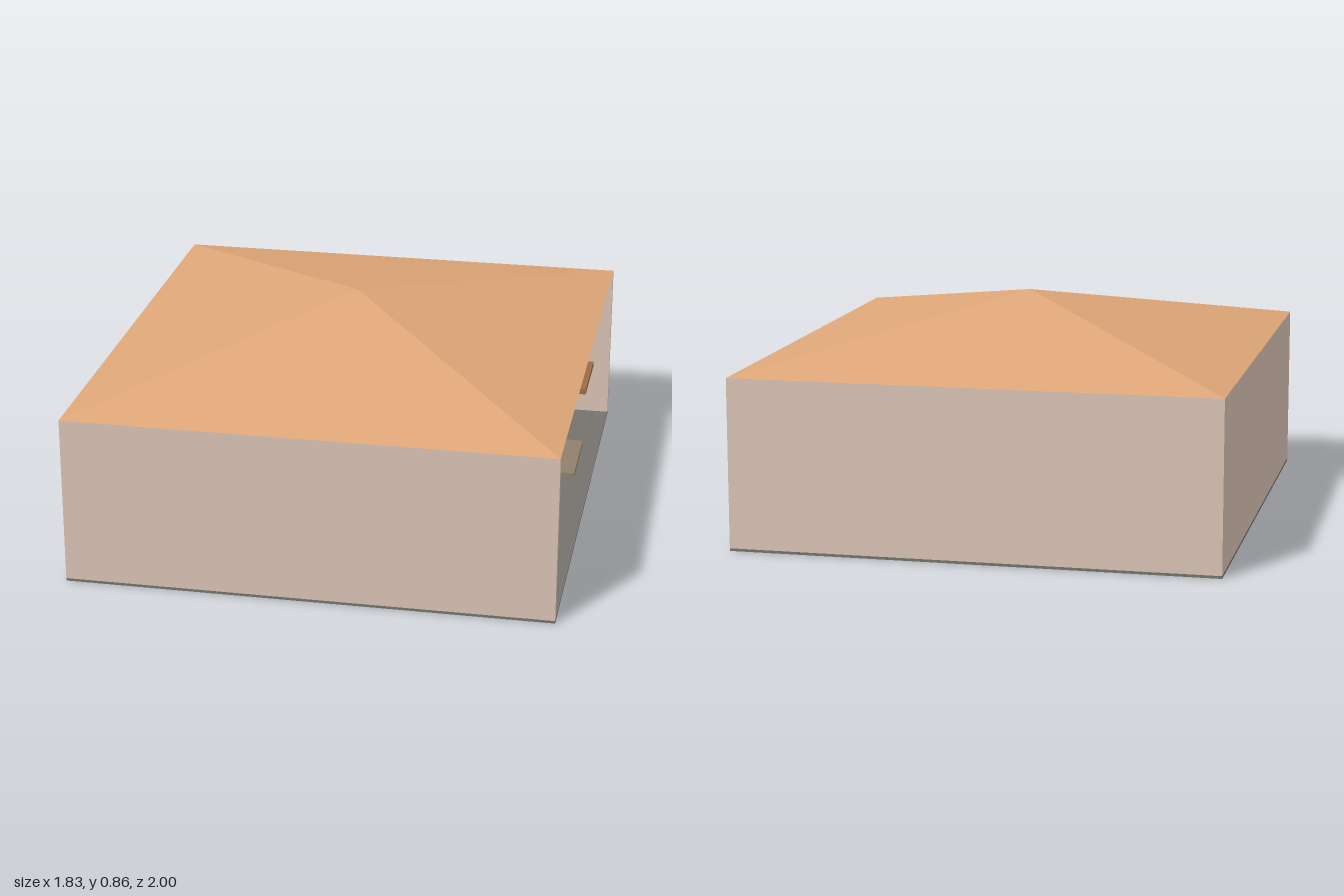
import * as THREE from 'three';

const HALF_X = 0.917, HALF_Z = 1, WALL = 0.025, FLOOR = 0.01, EAVES = 0.65, PEAK = 0.863;

const paint = (color, side = THREE.FrontSide) =>
  new THREE.MeshStandardMaterial({ color, side, flatShading: true });

// Box given by its low and high bounds on each axis
function block(name, [x0, x1], [y0, y1], [z0, z1], material) {
  const mesh = new THREE.Mesh(new THREE.BoxGeometry(x1 - x0, y1 - y0, z1 - z0), material);
  mesh.position.set((x0 + x1) / 2, (y0 + y1) / 2, (z0 + z1) / 2);
  mesh.name = name;
  return mesh;
}

// Long bench with four square legs, running along x
function makeBench(name, z, wood) {
  const bench = new THREE.Group();
  bench.name = name;
  bench.add(block('benchTop', [-0.85, 0.85], [0.22, 0.243], [-0.16, 0.16], wood));
  for (const x of [-0.735, 0.735]) {
    for (const dz of [-0.126, 0.126]) {
      bench.add(block('benchLeg', [x - 0.021, x + 0.021], [FLOOR, 0.22], [dz - 0.021, dz + 0.021], wood));
    }
  }
  bench.position.z = z;
  return bench;
}

// Table on two block pedestals
function makeTable(stone) {
  const table = new THREE.Group();
  table.name = 'table';
  table.add(block('tableTop', [-0.85, 0.89], [0.21, 0.228], [-0.162, 0.162], stone));
  for (const x of [-0.576, 0.616]) {
    table.add(block('tablePedestal', [x - 0.057, x + 0.057], [FLOOR + 0.005, 0.21], [-0.08, 0.08], stone));
  }
  table.position.z = 0.018;
  return table;
}

export function createModel() {
  const model = new THREE.Group();
  model.name = 'openShelter';
  const plaster = paint(0xd8c2b4), wood = paint(0x9c6b45);

  // Floor slab
  model.add(block('floor', [-HALF_X, HALF_X], [0, FLOOR], [-HALF_Z, HALF_Z], paint(0x75726d)));

  // Three walls, open on the +x side
  model.add(block('frontWall', [-HALF_X, HALF_X], [FLOOR, EAVES], [HALF_Z - WALL, HALF_Z], plaster));
  model.add(block('backWall', [-HALF_X, HALF_X], [FLOOR, EAVES], [-HALF_Z, WALL - HALF_Z], plaster));
  model.add(block('rightWall', [-HALF_X, WALL - HALF_X], [FLOOR, EAVES], [WALL - HALF_Z, HALF_Z - WALL], plaster));

  // Hollow four-sided roof
  const roofShape = new THREE.ConeGeometry(Math.SQRT2, PEAK - EAVES, 4, 1, true);
  roofShape.rotateY(Math.PI / 4);
  roofShape.scale(HALF_X, 1, HALF_Z);
  const roof = new THREE.Mesh(roofShape, paint(0xdea678, THREE.DoubleSide));
  roof.position.y = (EAVES + PEAK) / 2;
  roof.name = 'roof';
  model.add(roof);

  // Furniture
  model.add(makeBench('frontBench', 0.815, wood));
  model.add(makeBench('backBench', -0.806, wood));
  model.add(makeTable(paint(0x8f806c)));
  return model;
}
